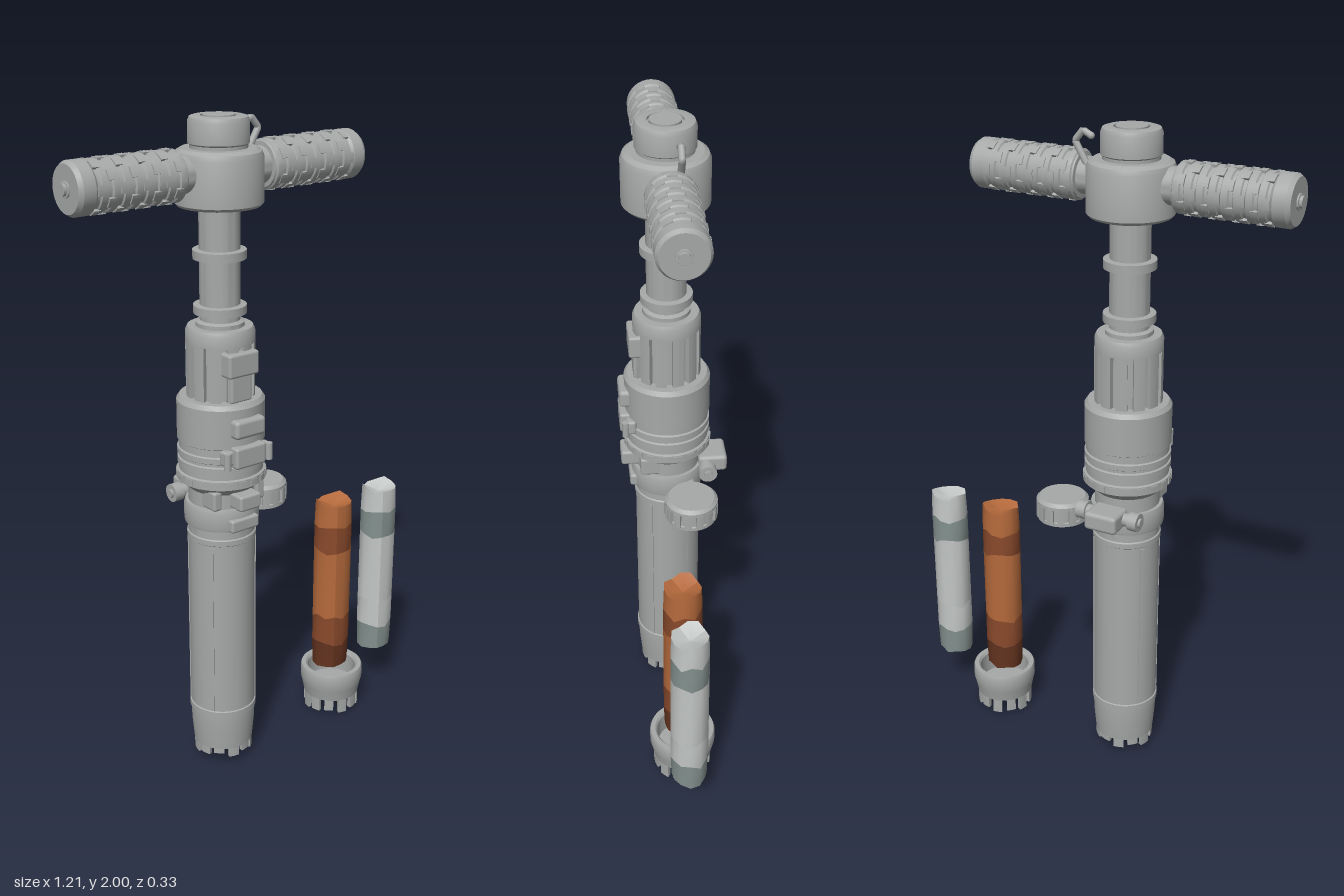
import * as THREE from 'three';
import { toCreasedNormals } from 'three/addons/utils/BufferGeometryUtils.js';
import { RoundedBoxGeometry } from 'three/addons/geometries/RoundedBoxGeometry.js';

const mat = (name, color) => {
  const m = new THREE.MeshStandardMaterial({ color });
  m.name = name;
  return m;
};
const metal = mat('grey metal', 0xa6a9a8);
const orange = mat('orange crystal', 0xb56a3c);
const brown = mat('brown crystal', 0x8a4a2c);
const darkBrown = mat('dark brown crystal', 0x653420);
const pale = mat('pale crystal', 0xc3c7c5);
const greyGreen = mat('grey green crystal', 0x84928f);

function add(parent, name, geometry, x = 0, y = 0, z = 0, material = metal) {
  const mesh = new THREE.Mesh(geometry, material);
  mesh.name = name;
  mesh.position.set(x, y, z);
  parent.add(mesh);
  return mesh;
}

// Turned part from [radius, height] pairs, listed upwards along the outside
const turned = (pts, seg = 44) =>
  toCreasedNormals(new THREE.LatheGeometry(pts.map(([r, y]) => new THREE.Vector2(r, y)), seg), 0.5);

const box = (w, h, d, r = 0.008) => new RoundedBoxGeometry(w, h, d, 2, r);

// Block cut from a tube wall, centred on angle a
function sector(rIn, rOut, a, width, height) {
  const s = new THREE.Shape();
  s.absarc(0, 0, rOut, a - width / 2, a + width / 2, false);
  s.absarc(0, 0, rIn, a + width / 2, a - width / 2, true);
  return new THREE.ExtrudeGeometry(s, { depth: height, bevelEnabled: false, curveSegments: 4 })
    .rotateX(-Math.PI / 2);
}

function ringOf(parent, name, n, rIn, rOut, fill, y, h, x = 0, z = 0, vary = 0) {
  for (let i = 0; i < n; i++) {
    const dh = vary * ((i * 7) % 5) / 4;
    add(parent, name, sector(rIn, rOut, ((i + 0.5) / n) * Math.PI * 2, (fill * Math.PI * 2) / n, h - dh), x, y + dh, z);
  }
}

// Ribbed crossbar grip, built upwards and then laid on its side
function makeGrip(side) {
  const g = new THREE.Group();
  g.name = side > 0 ? 'leftGrip' : 'rightGrip';
  const pts = [[0.052, 0.1], [0.052, 0.145], [0.064, 0.146]];
  const n = 8, start = 0.15, step = 0.0345;
  for (let i = 0; i < n; i++) {
    const y = start + i * step;
    pts.push([0.066, y], [0.071, y + 0.003], [0.071, y + 0.022], [0.066, y + 0.025], [0.066, y + step - 0.002]);
  }
  pts.push([0.072, 0.432], [0.072, 0.468], [0.064, 0.48], [0.022, 0.48], [0.022, 0.484],
    [0.016, 0.485], [0.016, 0.493], [0, 0.493]);
  add(g, 'gripCore', turned(pts, 36));
  // Staggered lugs bridging the grooves
  for (let i = 0; i < n; i++)
    for (let k = 0; k < 6; k++)
      add(g, 'gripLug', sector(0.062, 0.0735, (k + (i % 2) / 2) * Math.PI / 3, 0.4, 0.02), 0, start + i * step + 0.016, 0);
  g.rotation.z = -side * Math.PI / 2;
  g.position.y = 1.852;
  return g;
}

// Faceted column of coloured bands with ragged borders; levels run upwards
function makeCrystal(name, levels, materials, radius, seed) {
  const g = new THREE.Group();
  g.name = name;
  const n = 12;
  const rnd = (i, k) => {
    const v = Math.sin((i + 1) * 12.9898 + (k + 1) * 78.233 + seed) * 43758.5453;
    return v - Math.floor(v) - 0.5;
  };
  const last = levels.length - 1;
  const corner = (i, k) => {
    const j = i % n, a = (j / n) * Math.PI * 2;
    const r = radius * (1 + 0.08 * rnd(j, 99)) * (k === 0 || k === last ? 0.95 : 1);
    const y = levels[k] + (k === 0 ? 0.012 : 0.026) * rnd(j, k) * (k === last ? 0.8 : 1);
    return [Math.cos(a) * r, y, Math.sin(a) * r];
  };
  const build = (tris, m, label) => {
    const geo = new THREE.BufferGeometry();
    geo.setAttribute('position', new THREE.Float32BufferAttribute(tris.flat(), 3));
    geo.computeVertexNormals();
    add(g, label, toCreasedNormals(geo, 0.7), 0, 0, 0, m);
  };
  for (let k = 0; k < last; k++) {
    const tris = [];
    for (let i = 0; i < n; i++) {
      const a = corner(i, k), b = corner(i + 1, k), c = corner(i, k + 1), d = corner(i + 1, k + 1);
      tris.push(a, c, b, b, c, d);
      if (k === 0) tris.push(a, b, [0, levels[0] + 0.01, 0]);
      if (k === last - 1) tris.push(c, [0, levels[last] - 0.02, 0], d);
    }
    build(tris, materials[k], 'crystalBand');
  }
  return g;
}

export function createModel() {
  const model = new THREE.Group();
  model.name = 'crossbarHilt';
  const hilt = new THREE.Group();
  hilt.name = 'hilt';
  hilt.position.set(-0.113, 0, 0.013);
  model.add(hilt);

  // Hollow lower body with a broken rim
  add(hilt, 'lowerBody', turned([[0, 0.15], [0.079, 0.15], [0.079, 0.055], [0.092, 0.055], [0.098, 0.12],
    [0.1, 0.165], [0.1, 0.176], [0.104, 0.178], [0.104, 0.196], [0.1, 0.198], [0.1, 0.765], [0.104, 0.768],
    [0.104, 0.784], [0.1, 0.787], [0.1, 0.815], [0.11, 0.817], [0.112, 0.825], [0.112, 0.872], [0.108, 0.885], [0, 0.885]]));
  ringOf(hilt, 'rimTooth', 12, 0.079, 0.091, 0.72, 0.02, 0.036, 0, 0, 0.018);
  for (const a of [-0.62, 0.62, Math.PI - 0.62, Math.PI + 0.62])
    add(hilt, 'bodyRail', sector(0.095, 0.103, a, 0.1, 0.56), 0, 0.2, 0);

  // Neck and wide grooved collar
  add(hilt, 'wideCollar', turned([[0, 0.88], [0.098, 0.88], [0.098, 0.93], [0.118, 0.95], [0.131, 0.958], [0.131, 0.984],
    [0.124, 0.987], [0.124, 1.005], [0.129, 1.007], [0.129, 1.025], [0.124, 1.028], [0.124, 1.036],
    [0.129, 1.039], [0.129, 1.055], [0.124, 1.058], [0.124, 1.08], [0.129, 1.083], [0.129, 1.2], [0.12, 1.213], [0, 1.213]]));
  ringOf(hilt, 'collarNotch', 20, 0.12, 0.1335, 0.6, 0.961, 0.02);

  // Fluted section
  add(hilt, 'flutedCore', turned([[0.084, 1.2], [0.084, 1.37], [0.1, 1.372], [0.1, 1.405], [0.094, 1.418], [0, 1.418]]));
  ringOf(hilt, 'fluteRib', 12, 0.08, 0.1, 0.66, 1.21, 0.165);

  // Slim shaft with two rings
  add(hilt, 'shaft', turned([[0.07, 1.41], [0.07, 1.43], [0.058, 1.435], [0.058, 1.452], [0.076, 1.454], [0.076, 1.478],
    [0.058, 1.48], [0.058, 1.608], [0.076, 1.61], [0.076, 1.635], [0.058, 1.637], [0.058, 1.77]]));

  // Crossbar hub and cap
  add(hilt, 'hub', turned([[0, 1.758], [0.117, 1.758], [0.124, 1.766], [0.124, 1.89], [0.118, 1.905], [0.105, 1.913],
    [0.08, 1.913], [0.08, 1.922], [0.085, 1.926], [0.085, 1.983], [0.08, 1.995], [0.07, 1.998], [0.05, 1.998],
    [0.05, 1.99], [0.044, 1.99], [0.044, 2], [0, 2]]));
  for (const side of [1, -1]) hilt.add(makeGrip(side));

  // Bent clip beside the cap
  const clip = new THREE.CurvePath();
  const bends = [[0.122, 1.89], [0.158, 1.95], [0.133, 1.98], [0.108, 1.967]].map(([x, y]) => new THREE.Vector3(x, y, -0.028));
  for (let i = 0; i < 3; i++) clip.add(new THREE.LineCurve3(bends[i], bends[i + 1]));
  add(hilt, 'clip', new THREE.TubeGeometry(clip, 24, 0.01, 8));
  for (const b of [bends[0], bends[3]]) add(hilt, 'clipEnd', new THREE.SphereGeometry(0.01, 10, 8), b.x, b.y, b.z);

  // Front fittings
  add(hilt, 'upperSwitch', box(0.106, 0.07, 0.05), 0, 1.325, 0.09);
  add(hilt, 'switchBase', box(0.075, 0.09, 0.04), 0, 1.255, 0.082);
  add(hilt, 'middleSwitch', box(0.106, 0.056, 0.05, 0.012), 0, 1.145, 0.122);
  add(hilt, 'clasp', box(0.106, 0.064, 0.05), 0, 1.06, 0.122);
  add(hilt, 'claspBar', box(0.164, 0.045, 0.03), 0, 1.06, 0.114);
  add(hilt, 'neckButton', box(0.076, 0.048, 0.06), 0, 0.915, 0.115);
  add(hilt, 'ringButton', box(0.1, 0.04, 0.03), 0, 0.837, 0.105);
  for (const s of [1, -1]) {
    add(hilt, 'claspFoot', new THREE.CylinderGeometry(0.011, 0.011, 0.05, 12), s * 0.075, 1.055, 0.131);
    add(hilt, 'neckBracket', box(0.03, 0.06, 0.07), s * 0.078, 0.918, 0.055);
  }

  // Rear clamp with a round crossbar
  add(hilt, 'clampBlock', box(0.104, 0.056, 0.09, 0.012), 0, 0.882, -0.138);
  add(hilt, 'clampBar', new THREE.CylinderGeometry(0.02, 0.02, 0.19, 20).rotateZ(Math.PI / 2), 0, 0.882, -0.118);
  for (const s of [1, -1]) {
    add(hilt, 'clampEnd', new THREE.CylinderGeometry(0.028, 0.028, 0.03, 20).rotateZ(Math.PI / 2), s * 0.085, 0.882, -0.118);
    add(hilt, 'clampBolt', new THREE.CylinderGeometry(0.014, 0.014, 0.01, 12).rotateZ(Math.PI / 2), s * 0.102, 0.882, -0.118);
  }

  // Side knob on a short arm
  const knob = new THREE.Group();
  knob.name = 'sideKnob';
  knob.position.set(0.08, 0, -0.042);
  model.add(knob);
  add(knob, 'knobBody', turned([[0, 0.815], [0.065, 0.815], [0.065, 0.804], [0.077, 0.804], [0.077, 0.815],
    [0.073, 0.817], [0.073, 0.855], [0.08, 0.858], [0.08, 0.868], [0.07, 0.878], [0, 0.878]], 36));
  ringOf(knob, 'knobRib', 14, 0.068, 0.081, 0.6, 0.812, 0.048);
  add(knob, 'knobArm', box(0.1, 0.04, 0.06), -0.105, 0.84, 0.01);

  // Separate toothed cup
  const cup = new THREE.Group();
  cup.name = 'toothedCup';
  cup.position.set(0.348, 0, 0.012);
  model.add(cup);
  add(cup, 'cupWall', turned([[0.08, 0.142], [0.078, 0.05], [0.091, 0.05], [0.098, 0.085], [0.103, 0.105], [0.103, 0.142],
    [0.1, 0.15], [0.086, 0.15], [0.08, 0.142]]));
  add(cup, 'cupFloor', turned([[0, 0.06], [0.08, 0.06], [0.08, 0.075], [0, 0.075]]));
  ringOf(cup, 'cupTooth', 12, 0.078, 0.091, 0.64, 0, 0.052, 0, 0, 0.012);

  // Two loose crystals
  const heights = [0.16, 0.245, 0.345, 0.59, 0.67, 0.75];
  const warm = makeCrystal('orangeCrystal', heights, [darkBrown, brown, orange, brown, orange], 0.06, 3);
  warm.position.set(0.34, 0, 0.012);
  const cool = makeCrystal('paleCrystal', heights, [greyGreen, pale, pale, greyGreen, pale], 0.058, 3);
  cool.position.set(0.54, 0, 0.012);
  model.add(warm, cool);
  return model;
}
